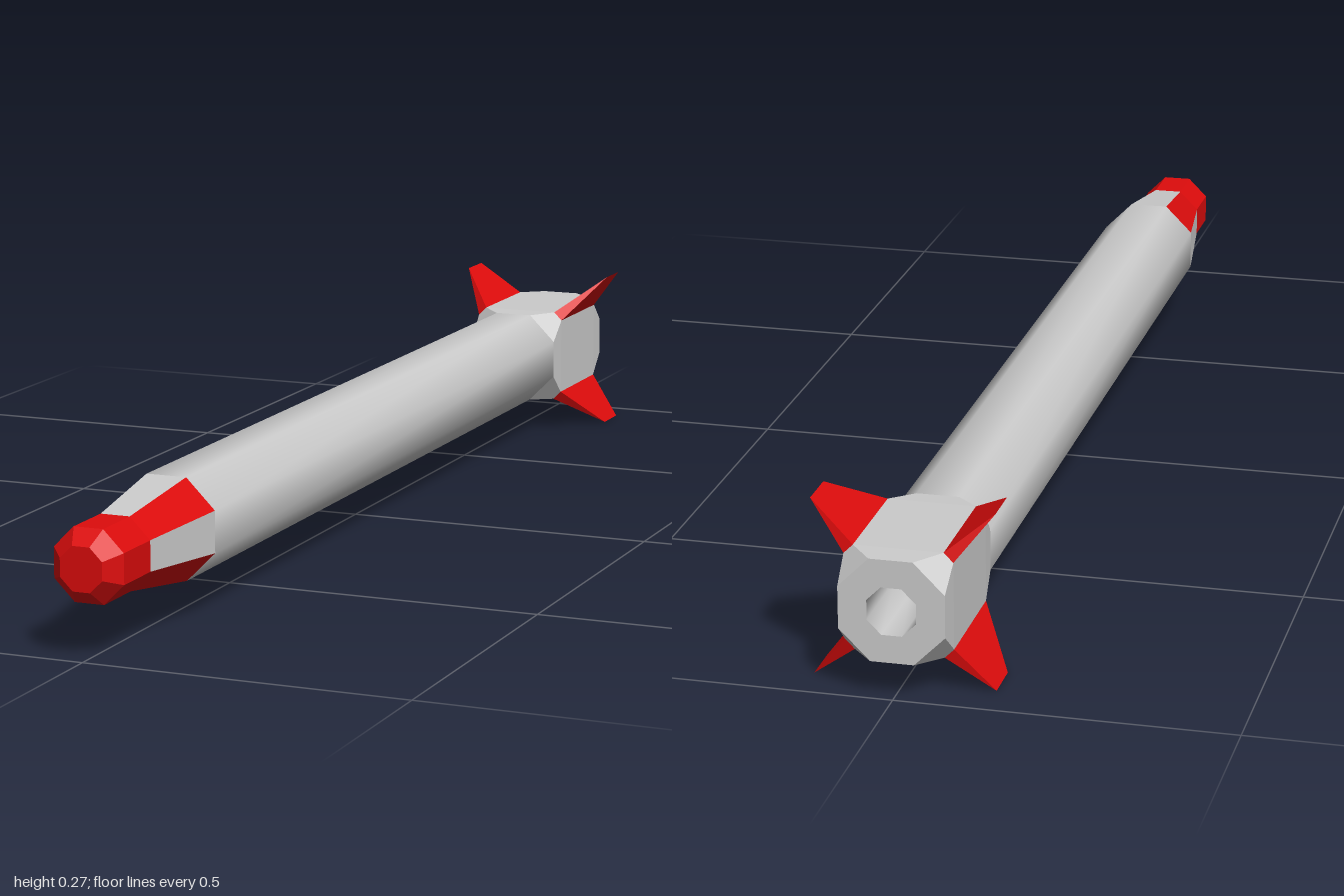
import * as THREE from 'three';
import { toCreasedNormals } from 'three/addons/utils/BufferGeometryUtils.js';

const A = 0.078, B = 0.032;     // body octagon: half width, half side
const CORNER = [0.08, 0.066];   // swollen tail section that carries the fins
const AXIS_Y = 0.135;

const octagon = (a, b) => [[a, -b], [a, b], [b, a], [-b, a], [-a, b], [-a, -b], [-b, -a], [b, -a]];

// Skin between eight-sided sections [z, a, b], front to back; keep(i) picks the sides
function loft(sections, keep = () => true) {
  const pos = [];
  for (let s = 0; s < sections.length - 1; s++) {
    const [[z1, ...f], [z0, ...r]] = [sections[s], sections[s + 1]];
    const front = octagon(...f), rear = octagon(...r);
    for (let i = 0; i < 8; i++) {
      if (!keep(i)) continue;
      const j = (i + 1) % 8;
      const p = [...front[i], z1], q = [...rear[i], z0], u = [...rear[j], z0], v = [...front[j], z1];
      if (r[0] > 0) pos.push(...p, ...q, ...u);
      if (f[0] > 0) pos.push(...p, ...u, ...v);
    }
  }
  return fromPositions(pos);
}

function fromPositions(pos) {
  const g = new THREE.BufferGeometry();
  g.setAttribute('position', new THREE.Float32BufferAttribute(pos, 3));
  g.computeVertexNormals();
  return g;
}

// Wedge fin: wide at the root, closing to a sharp edge at the tip
function finGeometry() {
  const [a, b] = CORNER, t = 0.135;
  const r1 = [a, b, -0.78], r0 = [a, b, -0.96];
  const l1 = [b, a, -0.78], l0 = [b, a, -0.96];
  const t1 = [t, t, -0.87], t0 = [t, t, -0.935];
  return fromPositions([
    r1, r0, t0, r1, t0, t1,
    l1, t1, t0, l1, t0, l0,
    r1, t1, l1, r0, l0, t0,
  ].flat());
}

export function createModel() {
  const model = new THREE.Group();
  model.name = 'missile';
  const grey = new THREE.MeshStandardMaterial({ color: 0xcccccc });
  const greyFlat = new THREE.MeshStandardMaterial({ color: 0xcccccc, flatShading: true });
  const red = new THREE.MeshStandardMaterial({ color: 0xdd0c0c, flatShading: true });
  const add = (name, geometry, material) => {
    const mesh = new THREE.Mesh(geometry, material);
    mesh.name = name;
    mesh.position.y = AXIS_Y;
    model.add(mesh);
    return mesh;
  };

  // Long smooth-shaded tube
  add('body', toCreasedNormals(loft([[0.72, A, B], [-0.745, A, B]]), 0.9), grey);

  // Tapered shoulder: grey on the upright sides, red on the diagonal ones
  const shoulder = [[0.72, A, B], [0.89, 0.055, 0.023]].reverse();
  add('shoulderPanels', loft(shoulder, i => i % 2 === 0), greyFlat);
  add('shoulderStripes', loft(shoulder, i => i % 2 === 1), red);

  // Nose with chamfered tip
  add('nose', loft([[1, 0, 0], [1, 0.033, 0.0137], [0.975, 0.055, 0.023], [0.89, 0.055, 0.023]]), red);

  // Tail block with swollen corners and the exhaust bore in its rear face
  add('tail', loft([
    [-0.745, A, B], [-0.78, ...CORNER], [-0.96, ...CORNER], [-1, A, B], [-1, 0.036, 0.015],
  ]), greyFlat);
  add('exhaustBore', toCreasedNormals(loft([
    [-1, 0.036, 0.015], [-0.85, 0.036, 0.015], [-0.85, 0, 0],
  ]), 0.9), grey);

  // Four diagonal fins
  const fin = finGeometry();
  for (let i = 0; i < 4; i++) add('fin', fin, red).rotation.z = i * Math.PI / 2;

  return model;
}
